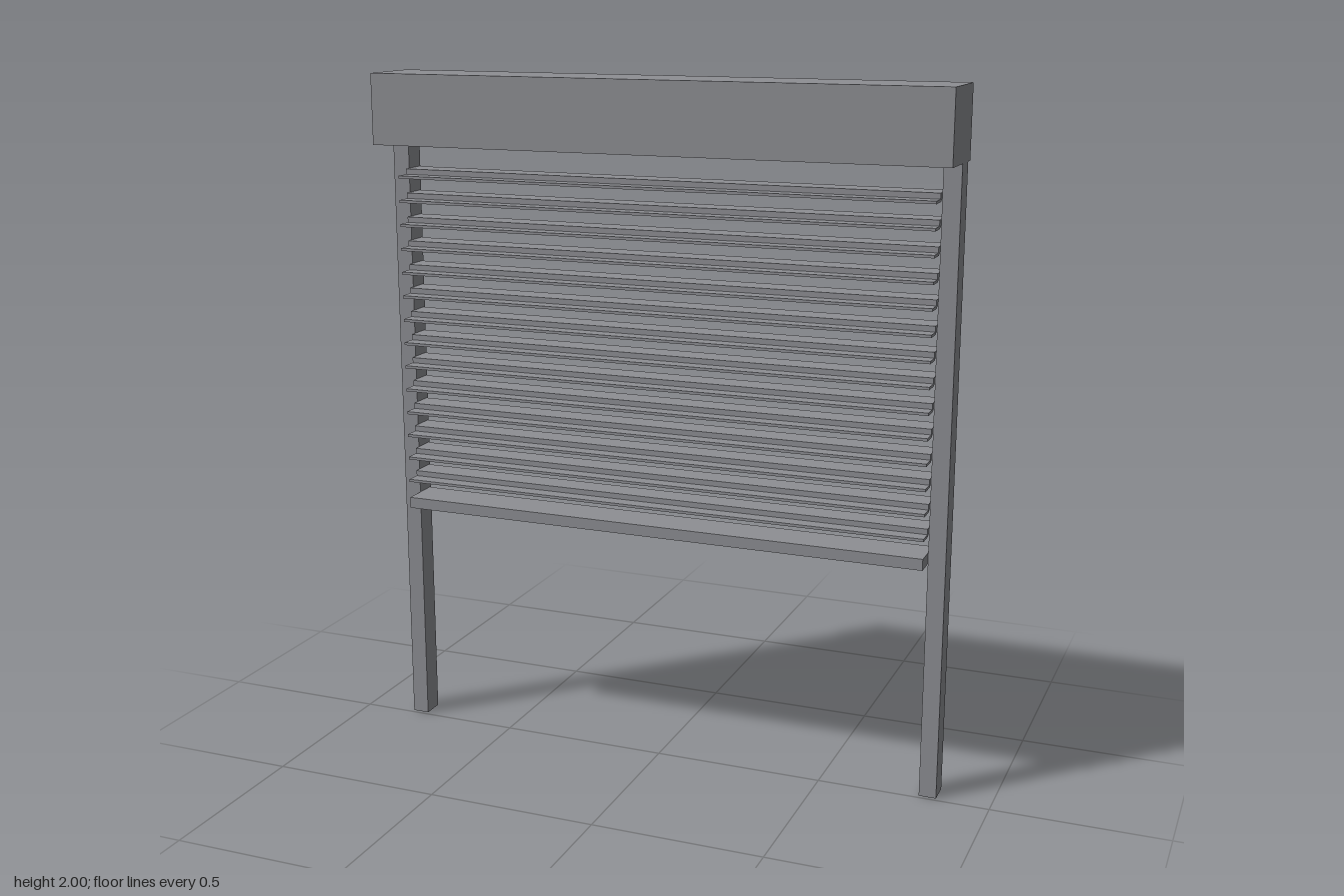
import * as THREE from 'three';

const material = new THREE.MeshStandardMaterial({ color: 0x8e8f94, flatShading: true });

// Box given by its extents on each axis
function box(name, [x0, x1], [y0, y1], [z0, z1]) {
  const mesh = new THREE.Mesh(new THREE.BoxGeometry(x1 - x0, y1 - y0, z1 - z0), material);
  mesh.position.set((x0 + x1) / 2, (y0 + y1) / 2, (z0 + z1) / 2);
  mesh.name = name;
  return mesh;
}

// Stepped slat cross-section (z, y): low front blade, raised back blade
function slatGeometry(width) {
  const profile = new THREE.Shape([
    [0.051, 0], [0.051, 0.008], [0.007, 0.008], [0.007, 0.024],
    [-0.071, 0.024], [-0.071, 0.014], [-0.012, 0.014], [-0.012, 0.008], [0.003, 0],
  ].map(([z, y]) => new THREE.Vector2(z, y)));
  const geometry = new THREE.ExtrudeGeometry(profile, { depth: width, bevelEnabled: false });
  return geometry.rotateY(-Math.PI / 2).translate(width / 2, 0, 0);
}

export function createModel() {
  const model = new THREE.Group();
  model.name = 'rollerShutter';

  // Housing across the top
  model.add(box('headBox', [-0.845, 0.845], [1.797, 2], [-0.103, 0.103]));

  // Side guide posts
  model.add(box('leftPost', [0.795, 0.845], [0, 1.797], [-0.078, -0.012]));
  model.add(box('rightPost', [-0.845, -0.795], [0, 1.797], [-0.078, -0.012]));

  // Evenly spaced slats
  const slats = new THREE.Group();
  slats.name = 'slats';
  const geometry = slatGeometry(1.59);
  for (let i = 0; i < 14; i++) {
    const slat = new THREE.Mesh(geometry, material);
    slat.name = `slat${i + 1}`;
    slat.position.y = 1.697 - i * 0.0706;
    slats.add(slat);
  }
  model.add(slats);

  // Thicker rail closing the bottom
  model.add(box('bottomRail', [-0.795, 0.795], [0.697, 0.73], [-0.071, 0.051]));

  return model;
}
